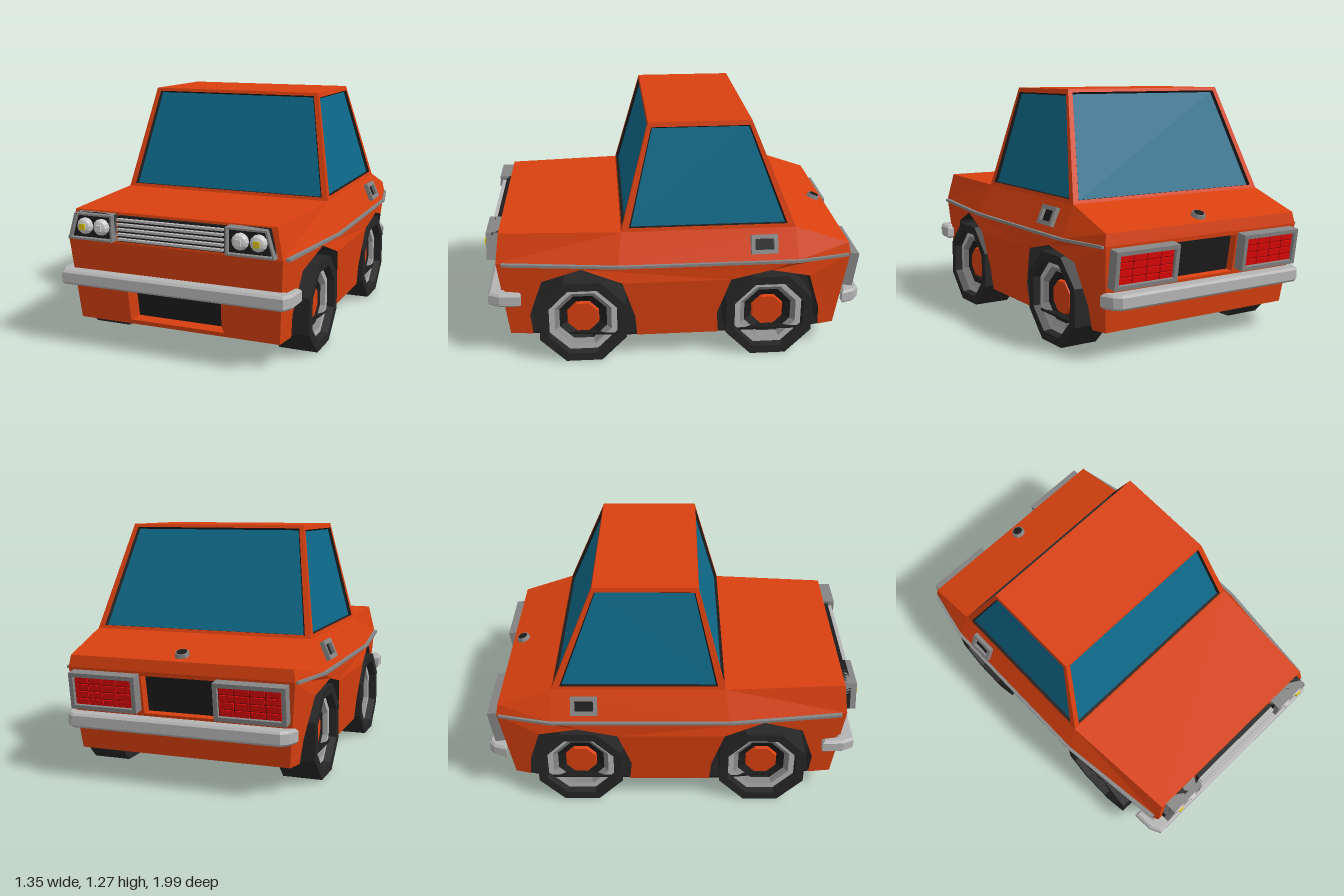
import * as THREE from 'three';

const mat = (color) => new THREE.MeshStandardMaterial({ color, flatShading: true, side: THREE.DoubleSide });
const paint = mat(0xd9400f), glass = mat(0x0e6a8a), black = mat(0x1c1c1c), rubber = mat(0x262626),
  chrome = mat(0xb4b4b4), grey = mat(0x858585), white = mat(0xcccccc), red = mat(0xe00808),
  darkRed = mat(0x6a0505), yellow = mat(0xd8c010);

function add(parent, name, geo, material, x = 0, y = 0, z = 0) {
  const m = new THREE.Mesh(geo, material);
  m.name = name;
  m.position.set(x, y, z);
  parent.add(m);
  return m;
}

// Surface of four-cornered faces, corners anticlockwise from outside
function quads(list) {
  const p = [];
  for (const [a, b, c, d] of list) p.push(...a, ...b, ...c, ...a, ...c, ...d);
  const g = new THREE.BufferGeometry();
  g.setAttribute('position', new THREE.Float32BufferAttribute(p, 3));
  g.computeVertexNormals();
  return g;
}

const shapeOf = (pts) => new THREE.Shape(pts.map(([x, y]) => new THREE.Vector2(x, y)));

// Outline in plan (x, z) raised from y by h
function plan(pts, y, h, bevel = 0) {
  const g = new THREE.ExtrudeGeometry(shapeOf(pts.map(([x, z]) => [x, -z])), {
    depth: h - 2 * bevel, bevelEnabled: bevel > 0, bevelSize: bevel, bevelThickness: bevel, bevelOffset: -bevel, bevelSegments: 1,
  });
  return g.rotateX(-Math.PI / 2).translate(0, y + bevel, 0);
}

// Open frame: outline with a hole of the same form scaled about its middle
function frame(pts, sx, sy, depth) {
  const cx = pts.reduce((s, p) => s + p[0], 0) / pts.length, cy = pts.reduce((s, p) => s + p[1], 0) / pts.length;
  const s = shapeOf(pts);
  s.holes.push(shapeOf(pts.map(([x, y]) => [cx + (x - cx) * sx, cy + (y - cy) * sy])));
  return new THREE.ExtrudeGeometry(s, { depth, bevelEnabled: false });
}
const rect = (w, h) => [[-w / 2, -h / 2], [w / 2, -h / 2], [w / 2, h / 2], [-w / 2, h / 2]];

// Four-cornered panel with a sunken pane inside it
function sunkenPanel(parent, name, corners, [u0, u1, v0, v1], depth, taper, pane, lining) {
  const [a, b, c, d] = corners.map((p) => new THREE.Vector3(...p));
  const n = b.clone().sub(a).cross(d.clone().sub(a)).normalize();
  const at = (u, v, k) => a.clone().lerp(b, u).lerp(d.clone().lerp(c, u), v).addScaledVector(n, -k).toArray();
  const t = taper;
  const hole = [at(u0, v0, 0), at(u1, v0, 0), at(u1, v1, 0), at(u0, v1, 0)];
  const deep = [at(u0 + t, v0 + t, depth), at(u1 - t, v0 + t, depth), at(u1 - t, v1 - t, depth), at(u0 + t, v1 - t, depth)];
  const ring = (o, i) => o.map((p, k) => [p, o[(k + 1) % 4], i[(k + 1) % 4], i[k]]);
  add(parent, name + 'Frame', quads(ring(corners, hole)), paint);
  add(parent, name + 'Lining', quads(ring(hole, deep)), lining);
  add(parent, name, quads([deep]), pane);
}

// Body lines from front to rear: sill, belt and shoulder
const sill = [[0.55, 0.13, 0.88], [0.62, 0.13, 0.3], [0.62, 0.13, -0.64], [0.56, 0.13, -0.87]];
const belt = [[0.58, 0.56, 0.93], [0.66, 0.56, 0.3], [0.66, 0.56, -0.64], [0.6, 0.56, -0.93]];
const shoulder = [[0.545, 0.715, 0.91], [0.59, 0.72, 0.28], [0.59, 0.72, -0.63], [0.59, 0.62, -0.92]];
const roof = [[0.48, 1.27, 0.13], [0.48, 1.27, -0.4]];
const flip = ([x, y, z]) => [-x, y, z];

function lineX(line, z) {
  let i = 0;
  while (i < 2 && z < line[i + 1][2]) i++;
  const [a, b] = [line[i], line[i + 1]];
  return THREE.MathUtils.lerp(a[0], b[0], (a[2] - z) / (a[2] - b[2]));
}
const sideX = (z, y) => THREE.MathUtils.lerp(lineX(sill, z), lineX(belt, z), (y - 0.13) / 0.43);

// Wheel arch outlines as (z, y), front to rear
const archAt = (zc, top) => [[0.27, 0.13], [0.28, 0.25], [0.21, 0.455], [0, top], [-0.21, 0.455], [-0.275, 0.25], [-0.285, 0.13]]
  .map(([z, y]) => [zc + z, y]);
const arches = [archAt(0.49, 0.535), archAt(-0.5, 0.505)];

function buildSide() {
  const side = new THREE.Group();
  add(side, 'upperSide', quads([0, 1, 2].map((i) => [belt[i], belt[i + 1], shoulder[i + 1], shoulder[i]])), paint);

  // Lower side with arch openings, bent to follow sill and belt
  const outline = [sill[0], ...arches.flat().map(([z, y]) => [0, y, z]), sill[3], ...[...belt].reverse()];
  const g = new THREE.ShapeGeometry(shapeOf(outline.map(([, y, z]) => [-z, y]))).rotateY(Math.PI / 2);
  const p = g.attributes.position;
  for (let i = 0; i < p.count; i++) p.setX(i, sideX(p.getZ(i), p.getY(i)));
  g.computeVertexNormals();
  add(side, 'lowerSide', g, paint);

  // Arch liners
  for (const arch of arches) {
    const strip = arch.slice(1).map(([z, y], i) => {
      const [z0, y0] = arch[i];
      return [[sideX(z0, y0), y0, z0], [0.46, y0, z0], [0.46, y, z], [sideX(z, y), y, z]];
    });
    add(side, 'archLiner', quads(strip), rubber);
    add(side, 'archBack', new THREE.ShapeGeometry(shapeOf(arch.map(([z, y]) => [-z, y]))).rotateY(Math.PI / 2), rubber, 0.46);
  }

  // Side window
  sunkenPanel(side, 'sideWindow', [shoulder[1], shoulder[2], roof[1], roof[0]], [0.04, 0.96, 0.035, 0.955], 0.015, 0.01, glass, black);

  // Trim strip along the belt
  const outer = [[0.605, 0.9], [0.675, 0.3], [0.675, -0.64], [0.615, -0.92]];
  add(side, 'trimStrip', plan([...outer, ...[...outer].reverse().map(([x, z]) => [x - 0.035, z])], 0.55, 0.014), grey);

  // Door handle
  const handle = new THREE.Group();
  handle.name = 'doorHandle';
  handle.position.set(0.62, 0.64, -0.46);
  handle.rotation.z = 0.41;
  add(handle, 'handleFrame', frame(rect(0.14, 0.1), 0.7, 0.58, 0.028).rotateY(Math.PI / 2), grey);
  add(handle, 'handleWell', new THREE.BoxGeometry(0.012, 0.08, 0.12), black, 0.004);
  side.add(handle);

  // Wheels
  for (const z of [0.49, -0.5]) side.add(buildWheel(z));

  // Headlight housing with two lamps
  const lampBox = [[0.305, 0.572], [0.555, 0.572], [0.515, 0.708], [0.305, 0.708]];
  add(side, 'headlightFrame', frame(lampBox, 0.92, 0.86, 0.07), grey, 0, 0, 0.905);
  add(side, 'headlightBack', new THREE.ExtrudeGeometry(shapeOf(lampBox), { depth: 0.035, bevelEnabled: false }), black, 0, 0, 0.91);
  for (const [x, m] of [[0.375, white], [0.468, yellow]]) {
    const lamp = new THREE.LatheGeometry([[0.042, 0], [0.042, 0.02], [0.033, 0.034], [0.015, 0.04], [0, 0.04]]
      .map(([r, y]) => new THREE.Vector2(r, y)), 12).rotateX(Math.PI / 2);
    add(side, 'headlamp', lamp, white, x, 0.64, 0.94);
    add(side, 'bulb', new THREE.BoxGeometry(0.03, 0.03, 0.016), m, x, 0.64, 0.98);
  }

  // Tail light: grey frame round a grid of red blocks
  const tail = new THREE.Group();
  tail.name = 'tailLight';
  tail.position.set(0.388, 0.455, -0.91);
  tail.rotation.x = -0.14;
  add(tail, 'tailFrame', frame(rect(0.365, 0.19), 0.88, 0.78, 0.06), grey, 0, 0, -0.065);
  add(tail, 'tailBack', new THREE.BoxGeometry(0.34, 0.17, 0.03), darkRed, 0, 0, -0.03);
  for (let i = 0; i < 4; i++) for (let j = 0; j < 4; j++)
    add(tail, 'tailLens', new THREE.BoxGeometry(0.072, 0.03, 0.012), red, (i - 1.5) * 0.079, (j - 1.5) * 0.037, -0.048);
  side.add(tail);
  return side;
}

// Eight-sided wheel: rings of (radius to flat, x)
function buildWheel(z) {
  const wheel = new THREE.Group();
  wheel.name = 'wheel';
  wheel.position.set(0, 0.23, z);
  const ring = (name, pts, m) => add(wheel, name, new THREE.LatheGeometry(
    pts.map(([r, x]) => new THREE.Vector2(r / Math.cos(Math.PI / 8), x)), 8, Math.PI / 8).rotateZ(-Math.PI / 2), m);
  ring('axleBoss', [[0, 0.2], [0.085, 0.2], [0.15, 0.44]], rubber);
  ring('tyre', [[0, 0.44], [0.23, 0.44], [0.23, 0.645], [0.185, 0.645], [0.18, 0.605]], rubber);
  ring('rim', [[0.182, 0.605], [0.15, 0.605]], chrome);
  ring('rimStep', [[0.15, 0.605], [0.125, 0.585]], grey);
  ring('rimDish', [[0.125, 0.585], [0.085, 0.565]], black);
  ring('hub', [[0.085, 0.565], [0.08, 0.585], [0, 0.585]], paint);
  return wheel;
}

export function createModel() {
  const car = new THREE.Group();
  car.name = 'car';

  for (const s of [1, -1]) {
    const side = buildSide();
    side.name = s > 0 ? 'leftSide' : 'rightSide';
    side.scale.x = s;
    car.add(side);
  }

  // Hood, roof, trunk and front and rear bands
  const across = (a, b) => [flip(a), a, b, flip(b)];
  add(car, 'hood', quads([across(shoulder[0], shoulder[1])]), paint);
  add(car, 'roof', quads([across(roof[0], roof[1])]), paint);
  add(car, 'trunk', quads([across(shoulder[2], shoulder[3])]), paint);
  add(car, 'frontBand', quads([across(belt[0], shoulder[0])]), paint);
  add(car, 'rearBand', quads([across(shoulder[3], belt[3])]), paint);

  // Windscreen and rear window
  const screen = [0.027, 0.973, 0.03, 0.97];
  sunkenPanel(car, 'windscreen', across(shoulder[1], roof[0]), screen, 0.015, 0.008, glass, black);
  sunkenPanel(car, 'rearWindow', across(flip(shoulder[2]), flip(roof[1])), screen, 0.015, 0.008, glass, black);

  // Front intake and number plate recess
  sunkenPanel(car, 'frontIntake', across(sill[0], belt[0]), [0.265, 0.735, 0.05, 0.56], 0.04, 0.028, black, paint);
  sunkenPanel(car, 'rearRecess', across(flip(sill[3]), flip(belt[3])), [0.335, 0.665, 0.5, 0.95], 0.03, 0.01, black, paint);

  // Underside
  const floor = sill.map(([x, , z]) => [x, z]);
  const inset = floor.map(([x, z]) => [x - 0.005, z]);
  add(car, 'underside', plan([...inset, ...[...inset].reverse().map(([x, z]) => [-x, z])], 0.13, 0.01), black);

  // Grille
  add(car, 'grilleBack', new THREE.BoxGeometry(0.58, 0.13, 0.03), black, 0, 0.637, 0.92);
  for (let i = 0; i < 5; i++) add(car, 'grilleBar', new THREE.BoxGeometry(0.57, 0.011, 0.03), chrome, 0, 0.587 + i * 0.025, 0.943);

  // Bumpers wrapping round the corners
  const wrap = (outer, inner) => {
    const half = [...inner.reverse(), ...outer];
    return [...half, ...[...half].reverse().map(([x, z]) => [-x, z])];
  };
  const bumper = (name, outer, inner, y) => add(car, name, plan(wrap(outer, inner), y, 0.074, 0.012), chrome);
  bumper('frontBumper', [[0.635, 0.81], [0.63, 0.92], [0.6, 0.98]], [[0.595, 0.81], [0.58, 0.89]], 0.328);
  bumper('rearBumper', [[0.61, -0.9], [0.585, -0.97], [0.55, -1]], [[0.57, -0.9], [0.55, -0.91]], 0.263);

  // Fuel cap on the trunk
  const cap = new THREE.Group();
  cap.name = 'fuelCap';
  cap.position.set(0, 0.646, -0.86);
  cap.rotation.x = -0.33;
  add(cap, 'capRing', new THREE.CylinderGeometry(0.034, 0.042, 0.03, 8), grey);
  add(cap, 'capTop', new THREE.CylinderGeometry(0.028, 0.028, 0.034, 8), black);
  car.add(cap);
  return car;
}
